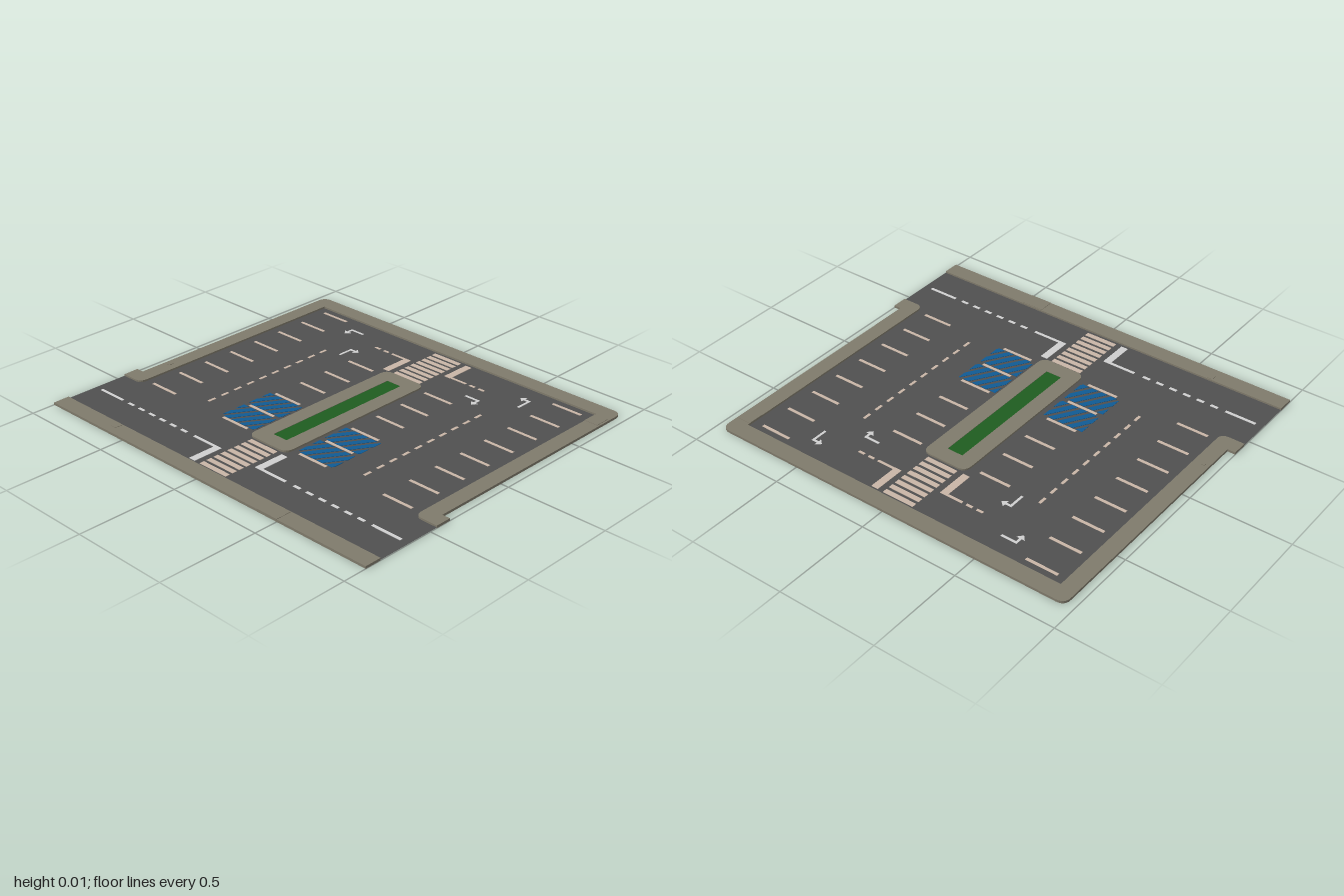
import * as THREE from 'three';

const mat = (name, color, side = THREE.FrontSide) => {
  const m = new THREE.MeshStandardMaterial({ color, side });
  m.name = name;
  return m;
};

const ROAD_Y = 0.003, PAINT = 0.002, CURB_H = 0.012;

// Rounded rectangle outline in plan, drawn on a Shape or Path
function roundRect(s, x0, z0, x1, z1, r) {
  s.moveTo(x0 + r, z0);
  s.lineTo(x1 - r, z0); s.quadraticCurveTo(x1, z0, x1, z0 + r);
  s.lineTo(x1, z1 - r); s.quadraticCurveTo(x1, z1, x1 - r, z1);
  s.lineTo(x0 + r, z1); s.quadraticCurveTo(x0, z1, x0, z1 - r);
  s.lineTo(x0, z0 + r); s.quadraticCurveTo(x0, z0, x0 + r, z0);
  return s;
}

export function createModel() {
  const model = new THREE.Group();
  model.name = 'parkingLot';
  const asphalt = mat('asphalt', 0x505050, THREE.DoubleSide);
  const concrete = mat('concrete', 0x7f7a6b);
  const white = mat('white paint', 0xcfcfcf);
  const beige = mat('beige paint', 0xc8b5a6);
  const blue = mat('blue paint', 0x0f5a94);
  const grass = mat('grass', 0x1f5c20);

  const group = (name) => {
    const g = new THREE.Group();
    g.name = name;
    model.add(g);
    return g;
  };
  const add = (parent, name, geometry, material) => {
    const m = new THREE.Mesh(geometry, material);
    m.name = name;
    parent.add(m);
    return m;
  };
  // Plan shape (x, z) extruded upward from y
  const slab = (parent, name, shape, y, h, material) => {
    const g = new THREE.ExtrudeGeometry(shape, { depth: h, bevelEnabled: false, curveSegments: 6 });
    g.rotateX(Math.PI / 2);
    g.translate(0, y + h, 0);
    return add(parent, name, g, material);
  };
  // Box between two plan corners
  const block = (parent, name, x0, z0, x1, z1, y, h, material) => {
    const g = new THREE.BoxGeometry(Math.abs(x1 - x0), h, Math.abs(z1 - z0));
    g.translate((x0 + x1) / 2, y + h / 2, (z0 + z1) / 2);
    return add(parent, name, g, material);
  };
  const paint = (parent, name, x0, z0, x1, z1, material) =>
    block(parent, name, x0, z0, x1, z1, ROAD_Y, PAINT, material);

  // Road surface: street strip plus the lot
  const road = new THREE.Shape();
  [[-0.87, -1], [-0.42, -1], [-0.42, -0.92], [0.83, -0.92], [0.83, 0.92], [-0.42, 0.92], [-0.42, 1], [-0.87, 1]]
    .forEach(([x, z], i) => (i ? road.lineTo(x, -z) : road.moveTo(x, -z)));
  const roadGeo = new THREE.ShapeGeometry(road);
  roadGeo.rotateX(-Math.PI / 2);
  roadGeo.translate(0, ROAD_Y, 0);
  add(model, 'road', roadGeo, asphalt);

  // Pavements around the edge
  const pavements = group('pavements');
  block(pavements, 'streetPavement', -0.88, -1, -0.795, 1, 0, CURB_H, concrete);
  const c = new THREE.Shape();
  c.moveTo(-0.46, -1);
  c.lineTo(-0.38, -1); c.lineTo(-0.38, -0.96);
  c.lineTo(0.83, -0.96); c.quadraticCurveTo(0.875, -0.96, 0.875, -0.915);
  c.lineTo(0.875, 0.915); c.quadraticCurveTo(0.875, 0.96, 0.83, 0.96);
  c.lineTo(-0.38, 0.96); c.lineTo(-0.38, 1); c.lineTo(-0.46, 1);
  c.lineTo(-0.46, 0.92); c.quadraticCurveTo(-0.46, 0.88, -0.42, 0.88);
  c.lineTo(0.79, 0.88); c.lineTo(0.79, -0.88);
  c.lineTo(-0.42, -0.88); c.quadraticCurveTo(-0.46, -0.88, -0.46, -0.92);
  c.closePath();
  slab(pavements, 'lotPavement', c, 0, CURB_H, concrete);
  // Slightly raised paving slabs
  [[-0.84, 0.44, 0.08, 0.12], [0.74, 0.915, 0.08, 0.07], [-0.23, -0.93, 0.03, 0.02], [-0.82, -0.61, 0.04, 0.03]]
    .forEach(([x, z, w, d]) => block(pavements, 'pavingSlab',
      x - w / 2, z - d / 2, x + w / 2, z + d / 2, CURB_H, 0.002, concrete));

  // Central island with planted bed
  const island = group('island');
  const rim = roundRect(new THREE.Shape(), -0.46, -0.122, 0.455, 0.122, 0.045);
  const hole = new THREE.Path();
  hole.moveTo(-0.38, -0.042); hole.lineTo(-0.38, 0.042);
  hole.lineTo(0.375, 0.042); hole.lineTo(0.375, -0.042); hole.closePath();
  rim.holes.push(hole);
  slab(island, 'islandCurb', rim, ROAD_Y, CURB_H - ROAD_Y, concrete);
  block(island, 'grassBed', -0.38, -0.042, 0.375, 0.042, ROAD_Y, 0.007, grass);

  // Street centre line and stop bars
  const street = group('streetMarkings');
  for (const s of [-1, 1]) {
    const line = (a, b) => paint(street, 'centreLine', -0.637, s * a, -0.622, s * b, white);
    line(0.80, 0.96);
    line(s < 0 ? 0.157 : 0.147, 0.295);
    for (let i = 0; i < 6; i++) line(0.345 + i * 0.075, 0.384 + i * 0.075);
  }
  paint(street, 'stopBar', -0.78, -0.157, -0.622, -0.12, white);
  paint(street, 'stopBar', -0.637, 0.11, -0.475, 0.147, white);

  // Crosswalks either side of the island
  const crosswalks = group('crosswalks');
  for (const x0 of [-0.78, 0.467])
    for (let i = 0; i < 8; i++)
      paint(crosswalks, 'crosswalkStripe', x0 + i * 0.0405, -0.088, x0 + i * 0.0405 + 0.025, 0.08, beige);

  // Lot stop bars with short lane lines
  const lot = group('lotMarkings');
  paint(lot, 'stopBar', 0.467, -0.157, 0.629, -0.12, beige);
  paint(lot, 'stopBar', 0.614, 0.11, 0.774, 0.147, beige);
  [[-0.24, -0.157], [-0.295, -0.262], [-0.352, -0.318], [0.147, 0.24], [0.262, 0.295], [0.318, 0.352]]
    .forEach(([a, b]) => paint(lot, 'laneLine', 0.616, a, 0.629, b, beige));

  // Parking bay lines
  for (let i = 0; i < 8; i++) {
    const x = -0.417 + i * 0.166;
    const bay = (a, b) => paint(lot, 'bayLine', x - 0.0075, a, x + 0.0075, b, beige);
    bay(-0.835, -0.672);
    bay(0.665, 0.828);
    if (i < 6) {
      bay(-0.337, -0.174);
      bay(0.162, 0.328);
    }
  }
  // Dashed aisle lines
  for (const z of [-0.506, 0.497])
    for (let i = 0; i < 10; i++)
      paint(lot, 'aisleDash', -0.357 + i * 0.0822, z - 0.007, -0.315 + i * 0.0822, z + 0.007, beige);

  // Diagonal blue hatching, each stripe clipped to its bay
  const hatching = group('blueHatching');
  const clipZ = (pts, limit, sign) => {
    const out = [];
    pts.forEach((p, i) => {
      const q = pts[(i + 1) % pts.length];
      const dp = sign * (p[1] - limit), dq = sign * (q[1] - limit);
      if (dp >= 0) out.push(p);
      if (dp * dq < 0) {
        const t = dp / (dp - dq);
        out.push([p[0] + t * (q[0] - p[0]), limit]);
      }
    });
    return out;
  };
  const rise = 0.09;
  for (const [z0, z1] of [[-0.362, -0.145], [0.138, 0.355]])
    for (const [x0, x1] of [[-0.405, -0.265], [-0.24, -0.098]])
      for (let z = z0 - 0.09; z < z1; z += 0.053) {
        let pts = [[x0, z], [x1, z + rise], [x1, z + rise + 0.033], [x0, z + 0.033]];
        pts = clipZ(clipZ(pts, z0, 1), z1, -1);
        if (pts.length < 3) continue;
        const shape = new THREE.Shape(pts.map(([x, y]) => new THREE.Vector2(x, y)));
        slab(hatching, 'hatchStripe', shape, ROAD_Y, PAINT * 0.8, blue);
      }

  // Turn arrows: tail, corner, tip
  const arrows = group('turnArrows');
  const w = 0.006;
  for (const [tail, corner, tip] of [
    [[0.69, -0.507], [0.69, -0.58], [0.635, -0.58]],
    [[0.44, -0.42], [0.515, -0.42], [0.515, -0.368]],
    [[0.525, 0.325], [0.525, 0.397], [0.473, 0.397]],
    [[0.61, 0.572], [0.685, 0.572], [0.685, 0.52]],
  ]) {
    const dx = Math.sign(tip[0] - corner[0]), dz = Math.sign(tip[1] - corner[1]);
    const neck = [tip[0] - dx * 0.025, tip[1] - dz * 0.025];
    for (const [a, b] of [[tail, corner], [corner, neck]])
      paint(arrows, 'arrowShaft', Math.min(a[0], b[0]) - w, Math.min(a[1], b[1]) - w,
        Math.max(a[0], b[0]) + w, Math.max(a[1], b[1]) + w, white);
    const head = new THREE.Shape([
      new THREE.Vector2(tip[0], tip[1]),
      new THREE.Vector2(neck[0] - dz * 0.022, neck[1] + dx * 0.022),
      new THREE.Vector2(neck[0] + dz * 0.022, neck[1] - dx * 0.022),
    ]);
    slab(arrows, 'arrowHead', head, ROAD_Y, PAINT, white);
  }
  return model;
}
